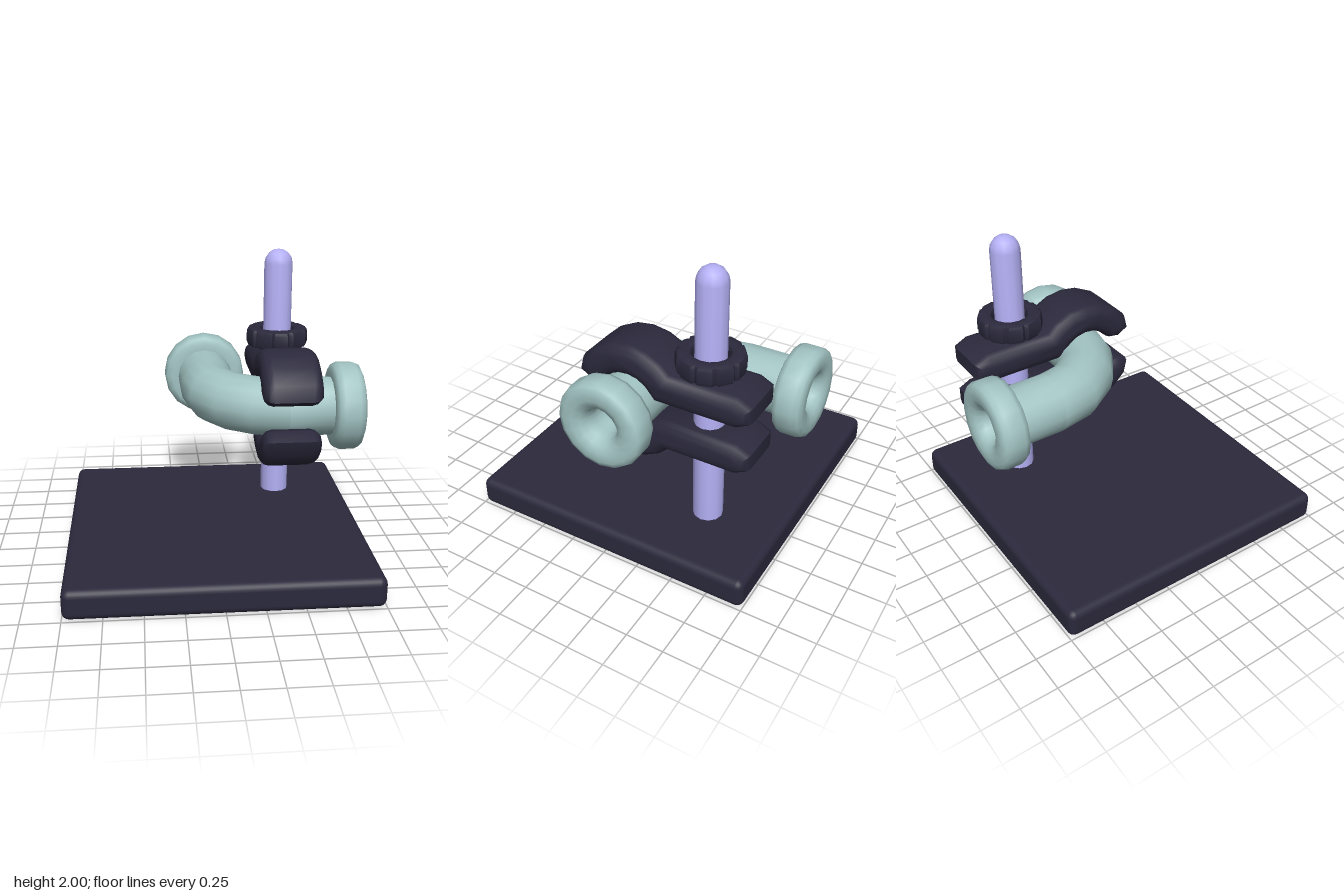
import * as THREE from 'three';
import { toCreasedNormals } from 'three/addons/utils/BufferGeometryUtils.js';
import { RoundedBoxGeometry } from 'three/addons/geometries/RoundedBoxGeometry.js';

const dark = new THREE.MeshStandardMaterial({ color: 0x2b293c });
const pale = new THREE.MeshStandardMaterial({ color: 0xa3c4c4 });
const lilac = new THREE.MeshStandardMaterial({ color: 0xb4b0f5 });
const paleInside = pale.clone();
paleInside.side = THREE.BackSide;

const SIDES = 16;
const vec = (x, y) => new THREE.Vector2(x, y);

function part(name, geometry, material, x = 0, y = 0, z = 0) {
  const mesh = new THREE.Mesh(geometry, material);
  mesh.name = name;
  mesh.position.set(x, y, z);
  return mesh;
}

// Straight pipe run with a rounded flange and a bore, along +y
function pipeRun() {
  const profile = [
    [0.2, 0.5], [0.2, 0.8], [0.25, 0.8], [0.285, 0.815], [0.3, 0.85],
    [0.3, 0.95], [0.285, 0.985], [0.25, 1], [0.19, 1], [0.14, 0.98],
    [0.11, 0.94], [0.1, 0.88], [0.1, 0.5],
  ].map(([r, u]) => vec(r, u));
  return toCreasedNormals(new THREE.LatheGeometry(profile, SIDES), 1.0);
}

// Quarter bend joining the two runs
function bend(radius) {
  return new THREE.TorusGeometry(0.5, radius, SIDES, 4, Math.PI / 2)
    .rotateX(Math.PI / 2).rotateY(-Math.PI / 2);
}

// Clamp jaw: an arc over the pipe running into a flat bar; side is 1 (upper) or -1 (lower)
function jaw(side) {
  const bevel = 0.07;
  const points = [];
  const arc = (r, from, to) => {
    for (let i = 0; i <= 6; i++) {
      const a = THREE.MathUtils.degToRad(from + ((to - from) * i) / 6);
      points.push(vec(r * Math.cos(a), side * r * Math.sin(a)));
    }
  };
  const line = (list) => list.forEach(([z, y]) => points.push(vec(z, side * y)));
  arc(0.33, 38, 142.7);
  line([[-0.74, 0.2], [-0.78, 0.18], [-0.78, 0.16], [-0.74, 0.14]]);
  arc(0.27, 148.8, 38);
  line([[0.25, 0.16], [0.268, 0.17]]);
  const geometry = new THREE.ExtrudeGeometry(new THREE.Shape(points), {
    depth: 0.4 - 2 * bevel, bevelSize: bevel, bevelThickness: bevel, bevelSegments: 3,
  });
  geometry.translate(0, 0, bevel - 0.2).rotateY(-Math.PI / 2);
  return toCreasedNormals(geometry, 0.9);
}

// Scalloped hand nut
function nut() {
  const lobes = 10;
  const points = [];
  for (let i = 0; i < lobes; i++) {
    for (const [t, r] of [[0, 0.168], [0.22, 0.188], [0.78, 0.188]]) {
      const a = ((i + t) / lobes) * Math.PI * 2;
      points.push(vec(r * Math.cos(a), r * Math.sin(a)));
    }
  }
  const shape = new THREE.Shape(points);
  shape.holes.push(new THREE.Path().absarc(0, 0, 0.145, 0, Math.PI * 2, true));
  const geometry = new THREE.ExtrudeGeometry(shape, {
    depth: 0.075, bevelSize: 0.027, bevelThickness: 0.03, bevelSegments: 2, curveSegments: 8,
  });
  return toCreasedNormals(geometry.translate(0, 0, 0.03).rotateX(-Math.PI / 2), 0.5);
}

// Threadless rod with a domed tip
function rod() {
  const profile = [vec(0, 0.1), vec(0.1, 0.1)];
  for (let i = 0; i <= 4; i++) {
    const a = (i / 4) * (Math.PI / 2);
    profile.push(vec(0.1 * Math.cos(a), 1.9 + 0.1 * Math.sin(a)));
  }
  return toCreasedNormals(new THREE.LatheGeometry(profile, 12), 0.9);
}

export function createModel() {
  const model = new THREE.Group();
  model.name = 'pipeClampStand';

  model.add(part('basePlate', new RoundedBoxGeometry(2, 0.2, 2, 3, 0.05), dark, 0, 0.1, 0));
  model.add(part('rod', rod(), lilac, 0.5, 0, -0.5));

  const pipe = new THREE.Group();
  pipe.name = 'pipe';
  pipe.add(
    part('leftPipeRun', pipeRun().rotateZ(-Math.PI / 2), pale, 0, 1, 0),
    part('backPipeRun', pipeRun().rotateX(-Math.PI / 2), pale, 0, 1, 0),
    part('pipeBend', bend(0.2), pale, 0.5, 1, -0.5),
    part('pipeBendBore', bend(0.1), paleInside, 0.5, 1, -0.5),
  );
  model.add(pipe);

  const clamp = new THREE.Group();
  clamp.name = 'clamp';
  clamp.add(
    part('upperJaw', jaw(1), dark, 0.5, 1, 0),
    part('lowerJaw', jaw(-1), dark, 0.5, 1, 0),
    part('handNut', nut(), dark, 0.5, 1.31, -0.5),
  );
  model.add(clamp);
  return model;
}
